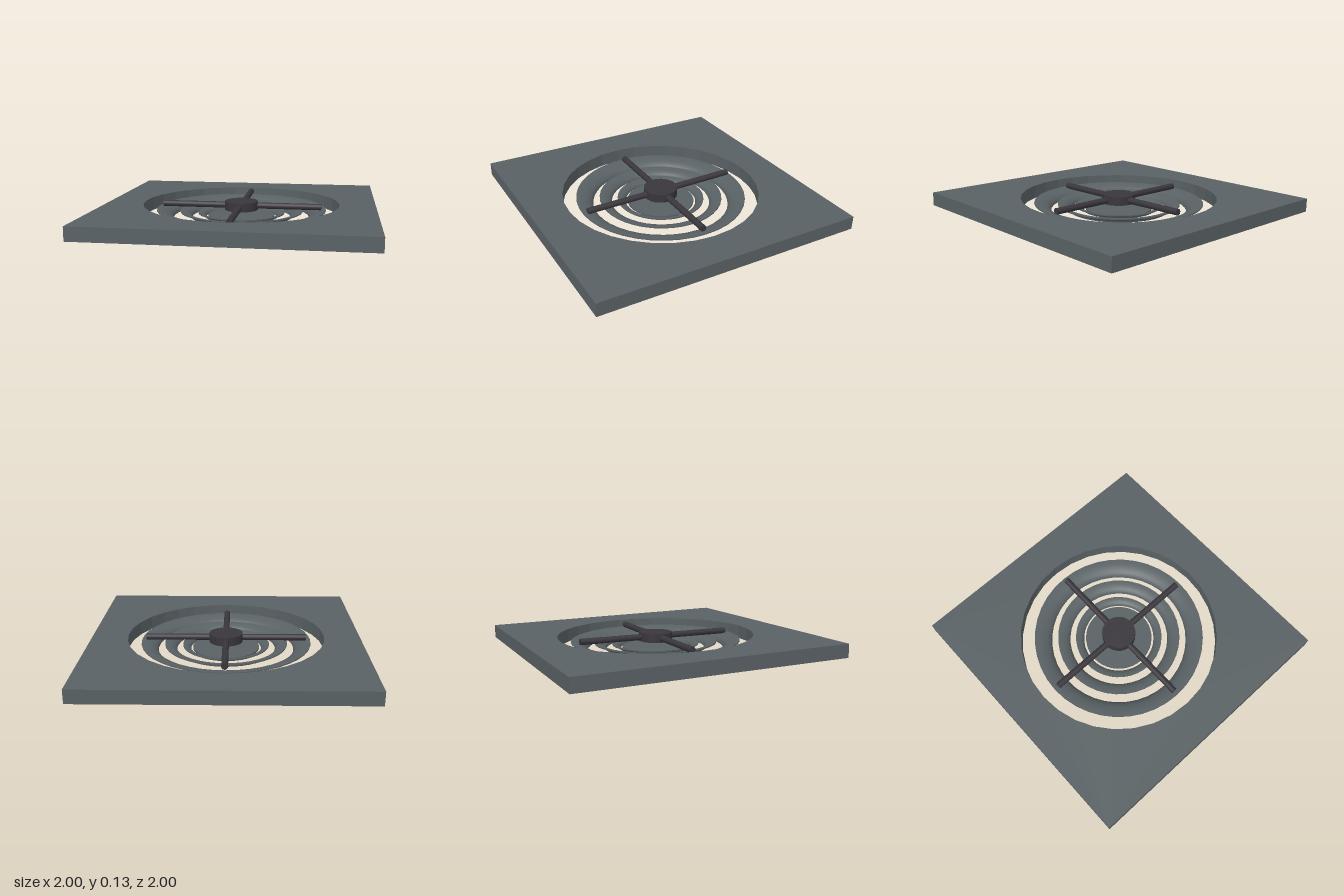
import * as THREE from 'three';

export function createModel() {
  const model = new THREE.Group();
  const slate = new THREE.MeshStandardMaterial({ color: 0x596164 });
  slate.name = 'slateGrey';
  const dark = new THREE.MeshStandardMaterial({ color: 0x39363c });
  dark.name = 'darkGrey';

  function add(parent, name, geometry, material, y = 0) {
    const mesh = new THREE.Mesh(geometry, material);
    mesh.name = name;
    mesh.position.y = y;
    parent.add(mesh);
    return mesh;
  }

  // Slightly tilted body: plate, louvre rings and centre disc; y = 0 is the plate underside
  const body = new THREE.Group();
  body.name = 'tiltedBody';
  body.position.y = 0.015;
  body.rotation.x = -0.015;
  model.add(body);

  // Square plate with a round opening
  const outline = new THREE.Shape([
    new THREE.Vector2(-1, -1), new THREE.Vector2(1, -1),
    new THREE.Vector2(1, 1), new THREE.Vector2(-1, 1),
  ]);
  const hole = [];
  for (let i = 0; i < 32; i++) {
    const a = (i / 32) * Math.PI * 2;
    hole.push(new THREE.Vector2(Math.cos(a) * 0.735, Math.sin(a) * 0.735));
  }
  outline.holes.push(new THREE.Path(hole));
  const plate = new THREE.ExtrudeGeometry(outline, { depth: 0.1, bevelEnabled: false });
  plate.rotateX(-Math.PI / 2);
  add(body, 'plate', plate, slate);

  // Flared louvre ring: a quarter-round shell, low at the inside and high at the rim
  function louvre(inner, outer, height) {
    const wall = 0.008;
    const upper = [], lower = [];
    for (let i = 0; i <= 8; i++) {
      const a = (i / 8) * Math.PI / 2;
      const c = 1 - Math.cos(a), s = Math.sin(a);
      upper.push(new THREE.Vector2(inner + (outer - inner) * c, -0.004 + height * s));
      lower.push(new THREE.Vector2(inner + wall + (outer - inner - wall) * c, -0.004 + (height - wall) * s));
    }
    const ring = new THREE.Group();
    ring.name = 'louvreRing';
    const rim = [lower[8], upper[8]];
    const foot = [upper[0], lower[0]];
    add(ring, 'louvreTop', new THREE.LatheGeometry(upper.slice().reverse(), 40), slate);
    add(ring, 'louvreUnderside', new THREE.LatheGeometry(lower, 40), slate);
    add(ring, 'louvreRim', new THREE.LatheGeometry(rim, 40), slate);
    add(ring, 'louvreFoot', new THREE.LatheGeometry(foot, 40), slate);
    body.add(ring);
  }
  louvre(0.51, 0.635, 0.065);
  louvre(0.37, 0.46, 0.05);
  louvre(0.265, 0.325, 0.036);

  // Centre disc
  add(body, 'centreDisc', new THREE.CylinderGeometry(0.25, 0.25, 0.012, 40), slate, 0.004);

  // Hub and crossed spokes
  add(model, 'hub', new THREE.CylinderGeometry(0.125, 0.125, 0.065, 32), dark, 0.0975);
  for (const axis of ['x', 'z']) {
    const spoke = add(model, 'spoke', new THREE.CylinderGeometry(0.0235, 0.0235, 1.2, 16), dark, 0.097);
    spoke.rotation[axis] = Math.PI / 2;
  }
  return model;
}
